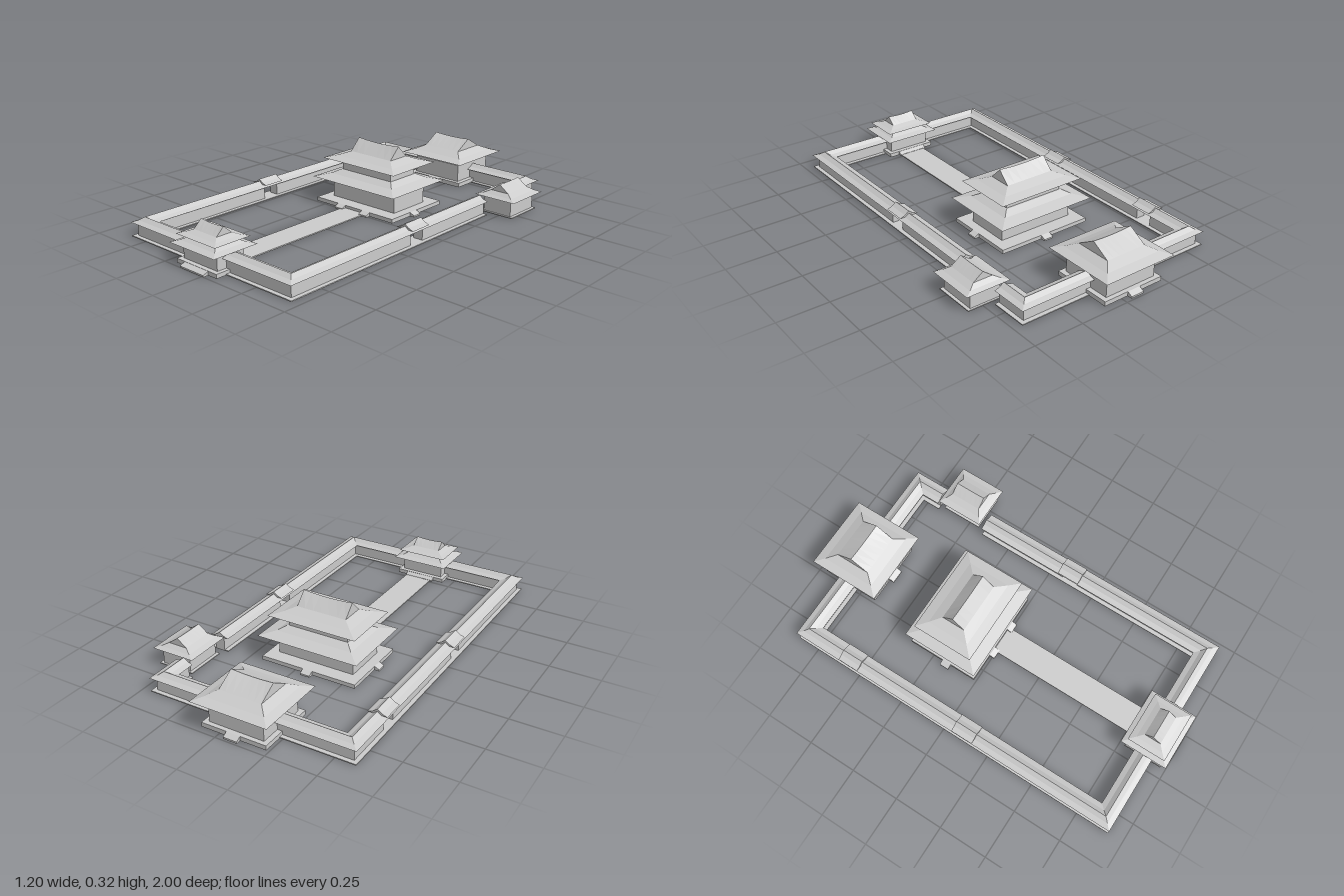
import * as THREE from 'three';

const material = new THREE.MeshStandardMaterial({ color: 0xcccccc, flatShading: true });

// Skins a series of rings (counterclockwise seen from the far end) and caps both ends.
function loft(name, rings) {
  const pos = [];
  const tri = (a, b, c) => pos.push(...a, ...b, ...c);
  const n = rings[0].length;
  for (let k = 0; k < rings.length - 1; k++) {
    const a = rings[k], b = rings[k + 1];
    for (let i = 0; i < n; i++) {
      const j = (i + 1) % n;
      tri(a[i], a[j], b[j]);
      tri(a[i], b[j], b[i]);
    }
  }
  const first = rings[0], last = rings[rings.length - 1];
  for (let i = 1; i < n - 1; i++) {
    tri(first[0], first[i + 1], first[i]);
    tri(last[0], last[i], last[i + 1]);
  }
  const g = new THREE.BufferGeometry();
  g.setAttribute('position', new THREE.Float32BufferAttribute(pos, 3));
  g.computeVertexNormals();
  const m = new THREE.Mesh(g, material);
  m.name = name;
  return m;
}

function box(name, hx, hz, y0, y1) {
  const m = new THREE.Mesh(new THREE.BoxGeometry(hx * 2, y1 - y0, hz * 2), material);
  m.position.y = (y0 + y1) / 2;
  m.name = name;
  return m;
}

// Hipped skirt: levels of [half x, half z, y] from the eave upwards.
function skirt(name, levels) {
  return loft(name, levels.map(([x, z, y]) => [[-x, y, z], [x, y, z], [x, y, -z], [-x, y, -z]]));
}

// Hip-and-gable roof with concave slopes and a sagging ridge along x.
function hipGable(name, hx, hz, eave, gx, gz, base, ridge, sag) {
  const g = new THREE.Group();
  g.name = name;
  const mx = gx + (hx - gx) * 0.5, mz = gz + (hz - gz) * 0.5;
  g.add(skirt('hippedEaves', [[hx, hz, eave], [mx, mz, eave + (base - eave) * 0.4], [gx, gz, base]]));
  const rings = [];
  for (let i = 0; i <= 6; i++) {
    const t = i / 3 - 1;
    rings.push([[t * gx, base, gz], [t * gx, base, -gz], [t * gx, ridge - sag * (1 - t * t), 0]]);
  }
  g.add(loft('gable', rings));
  return g;
}

// Sloped entrance ramp rising toward -z, turned by angle around y.
function ramp(x, z, angle, width, length, height) {
  const w = width / 2;
  const m = loft('entranceSteps', [-w, w].map(s => [[s, 0, length], [s, 0, 0], [s, height, 0], [s, height * 0.4, length]]));
  m.position.set(x, 0, z);
  m.rotation.y = angle;
  return m;
}

// Sweeps a section [outward, y] along path points [x, z, outward x, outward z].
function sweep(name, section, path) {
  return loft(name, path.map(([x, z, ox, oz]) => section.map(([u, y]) => [x + u * ox, y, z + u * oz])));
}

function building(name, x, z, parts) {
  const g = new THREE.Group();
  g.name = name;
  g.add(...parts);
  g.position.set(x, 0, z);
  return g;
}

export function createModel() {
  const model = new THREE.Group();
  model.name = 'walledCompound';

  // Enclosing wall
  const R = 0.41, L = -0.555, F = 0.875, B = -0.82;
  const right = z => [R, z, 1, 0], left = z => [L, z, -1, 0];
  const frontCorners = [[R, F, 1, 1], [L, F, -1, 1]];
  const backCorners = [[L, B, -1, -1], [R, B, 1, -1]];
  const whole = [right(-0.41), ...frontCorners, ...backCorners, right(-0.68)];
  const rect = (w, y0, y1) => [[-w, y0], [w, y0], [w, y1], [-w, y1]];
  const roofSection = (w, y0, y1) => {
    const ym = y0 + (y1 - y0) * 0.38;
    return [[0, y0], [w, y0], [w * 0.45, ym], [0, y1], [-w * 0.45, ym], [-w, y0]];
  };
  model.add(sweep('wallFooting', rect(0.046, 0, 0.005), whole));
  model.add(sweep('wallRoof', roofSection(0.0475, 0.07, 0.095), whole));
  [
    [right(-0.41), right(0.07)],
    [right(0.155), ...frontCorners, left(0.155)],
    [left(0.07), left(-0.515)],
    [left(-0.6), ...backCorners, right(-0.68)],
  ].forEach(p => model.add(sweep('wallBody', rect(0.025, 0.005, 0.071), p)));

  // Raised roofs over the side gateways
  [[right(0.05), right(0.165)], [left(0.165), left(0.05)], [left(-0.5), left(-0.61)]]
    .forEach(p => model.add(sweep('sideGateRoof', roofSection(0.048, 0.08, 0.106), p)));

  // Paved path from the front gate to the main hall
  const path = box('path', 0.071, 0.41, 0, 0.006);
  path.position.x = -0.064;
  path.position.z = 0.39;
  model.add(path);

  // Main hall, two storeys
  model.add(building('mainHall', -0.066, -0.198, [
    box('platform', 0.25, 0.185, 0, 0.02),
    box('lowerStorey', 0.201, 0.113, 0.02, 0.12),
    skirt('lowerRoof', [[0.265, 0.198, 0.13], [0.2, 0.133, 0.147], [0.165, 0.098, 0.166]]),
    box('upperStorey', 0.158, 0.09, 0.16, 0.221),
    hipGable('upperRoof', 0.232, 0.158, 0.227, 0.13, 0.06, 0.26, 0.32, 0.007),
    ramp(-0.08, 0.185, 0, 0.05, 0.025, 0.02),
    ramp(0.08, 0.185, 0, 0.05, 0.025, 0.02),
    ramp(0, -0.185, Math.PI, 0.05, 0.025, 0.02),
    ramp(0.25, 0.025, Math.PI / 2, 0.048, 0.025, 0.02),
    ramp(-0.25, 0.025, -Math.PI / 2, 0.048, 0.025, 0.02),
  ]));

  // Front gatehouse
  model.add(building('frontGatehouse', -0.068, 0.875, [
    box('platform', 0.132, 0.098, 0, 0.02),
    box('lowerStorey', 0.111, 0.075, 0.02, 0.088),
    skirt('lowerRoof', [[0.148, 0.121, 0.097], [0.115, 0.088, 0.107], [0.092, 0.065, 0.12]]),
    box('upperStorey', 0.088, 0.06, 0.115, 0.13),
    hipGable('upperRoof', 0.13, 0.098, 0.135, 0.074, 0.042, 0.154, 0.192, 0.005),
    ramp(0, 0.098, 0, 0.156, 0.027, 0.019),
    ramp(0, -0.098, Math.PI, 0.156, 0.02, 0.019),
  ]));

  // Rear hall
  model.add(building('rearHall', -0.07, -0.815, [
    box('platform', 0.165, 0.15, 0, 0.022),
    box('hallBody', 0.14, 0.128, 0.022, 0.111),
    hipGable('hallRoof', 0.195, 0.185, 0.135, 0.108, 0.09, 0.172, 0.225, 0.005),
    ramp(0, 0.15, 0, 0.07, 0.025, 0.022),
    ramp(0, -0.15, Math.PI, 0.07, 0.025, 0.022),
  ]));

  // Side pavilion set into the wall gap, ridge running front to back
  const pavilion = building('sidePavilion', 0.482, -0.552, [
    box('footing', 0.105, 0.094, 0, 0.005),
    box('pavilionBody', 0.095, 0.078, 0.005, 0.077),
    hipGable('pavilionRoof', 0.123, 0.113, 0.087, 0.08, 0.05, 0.113, 0.15, 0.002),
  ]);
  pavilion.rotation.y = Math.PI / 2;
  model.add(pavilion);

  return model;
}
